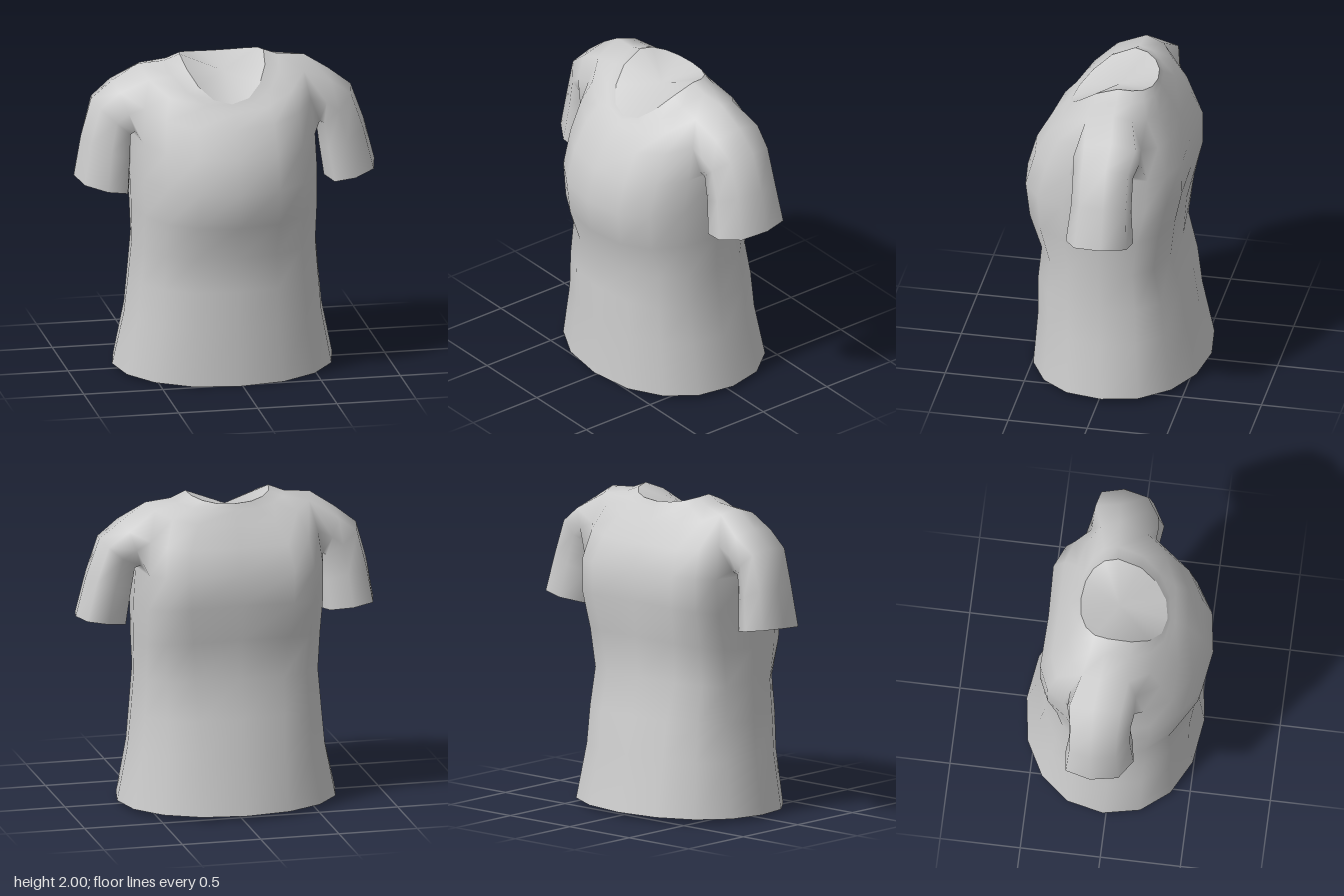
import * as THREE from 'three';

const SEG = 16;
const mat = new THREE.MeshStandardMaterial({ color: 0xcccccc, side: THREE.DoubleSide });
const soft = (v, e) => Math.sign(v) * Math.abs(v) ** e;

function build(pos, index) {
  const g = new THREE.BufferGeometry();
  g.setAttribute('position', new THREE.Float32BufferAttribute(pos.flat(), 3));
  g.setIndex(index);
  g.computeVertexNormals();
  return g;
}

// Close a ring with a fan around a centre point.
function fan(ring, centre, up) {
  const index = [];
  for (let i = 0; i < SEG; i++) {
    const j = (i + 1) % SEG;
    index.push(...(up ? [i, j, SEG] : [j, i, SEG]));
  }
  return build([...ring, centre], index);
}

// Torso ring: heights and depths at front, side and back, roundness of front
// and back (1 is an ellipse, less is boxier), and a spine dent.
function torsoRing([yF, yS, yB, w, zF, zS, zB, eF, eB, spine]) {
  const ring = [];
  for (let i = 0; i < SEG; i++) {
    const t = i / SEG * Math.PI * 2, s = Math.sin(t), c = Math.cos(t);
    const [yEnd, zEnd, e] = c > 0 ? [yF, zF, eF] : [yB, zB, eB];
    ring.push([
      -0.023 + w * soft(s, e),
      yS + (yEnd - yS) * Math.abs(c) ** 1.5,
      zS + (zEnd - zS) * Math.abs(c) ** e + (i === SEG / 2 ? spine : 0),
    ]);
  }
  return ring;
}

// Eight-sided sleeve ring spanning an outer and an inner point; tilt raises the back.
function sleeveRing([xo, yo, xi, yi, zF, zB, tilt, shift], side) {
  const ring = [];
  for (let k = 0; k < 8; k++) {
    const t = k / 8 * Math.PI * 2, s = soft(Math.sin(t), 0.75), c = soft(Math.cos(t), 0.75);
    ring.push([
      shift + side * ((xo + xi) / 2 + s * (xo - xi) / 2),
      (yo + yi) / 2 + s * (yo - yi) / 2 - c * tilt,
      (zF + zB) / 2 + c * (zF - zB) / 2 - 0.04 * s,
    ]);
  }
  return ring;
}

export function createModel() {
  const shirt = new THREE.Group();
  shirt.name = 'shirt';
  const add = (name, geometry) => {
    const m = new THREE.Mesh(geometry, mat);
    m.name = name;
    shirt.add(m);
  };

  // Hem to collar: yFront, ySide, yBack, halfWidth, zFront, zSide, zBack,
  // frontRoundness, backRoundness, spine
  const body = [
    [0.0, 0.025, 0.03, 0.695, 0.53, -0.02, -0.58, 0.92, 0.95, 0],
    [0.36, 0.36, 0.38, 0.625, 0.50, 0, -0.50, 0.9, 0.88, 0],
    [0.60, 0.60, 0.62, 0.60, 0.50, 0.01, -0.465, 0.88, 0.82, 0],
    [0.81, 0.83, 0.86, 0.58, 0.475, 0.02, -0.40, 0.86, 0.75, 0],
    [1.03, 1.06, 1.12, 0.583, 0.555, 0.02, -0.43, 0.86, 0.68, 0.01],
    [1.25, 1.30, 1.35, 0.585, 0.585, 0, -0.48, 0.86, 0.6, 0.03],
    [1.46, 1.53, 1.55, 0.58, 0.525, -0.03, -0.475, 0.86, 0.58, 0.03],
    [1.63, 1.75, 1.70, 0.56, 0.43, -0.045, -0.40, 0.85, 0.62, 0.02],
    [1.71, 1.948, 1.83, 0.525, 0.35, -0.06, -0.31, 0.88, 0.8, 0],
    [1.735, 1.962, 1.91, 0.36, 0.32, -0.05, -0.26, 0.9, 0.9, 0],
    [1.76, 2.0, 1.95, 0.265, 0.30, -0.04, -0.24, 0.9, 0.9, 0],
  ].map(torsoRing);

  // Cuff to shoulder: outer x/y, inner x/y, zFront, zBack, tilt, x shift
  const sleeve = [
    [0.95, 1.245, 0.615, 1.18, 0.18, -0.245, 0.015, 0],
    [0.895, 1.50, 0.595, 1.38, 0.155, -0.225, 0, -0.01],
    [0.82, 1.735, 0.585, 1.53, 0.155, -0.225, 0, -0.02],
    [0.68, 1.845, 0.57, 1.54, 0.17, -0.25, 0, -0.023],
  ];

  // Torso skin with an armhole on each side
  const pos = body.flat(), index = [];
  const at = (row, col) => row * SEG + col % SEG;
  const quad = (a, b, c, d) => index.push(a, b, c, a, c, d);
  for (let r = 0; r < body.length - 1; r++) {
    for (let i = 0; i < SEG; i++) {
      const armhole = (r === 6 || r === 7) && [3, 4, 11, 12].includes(i);
      if (!armhole) quad(at(r, i), at(r, i + 1), at(r + 1, i + 1), at(r + 1, i));
    }
  }

  // Sleeves grown into the armhole edges: [offset toward back, torso row]
  const edge = [[-1, 7], [-1, 8], [0, 8], [1, 8], [1, 7], [1, 6], [0, 6], [-1, 6]];
  for (const side of [1, -1]) {
    const loops = sleeve.map((row) => sleeveRing(row, side).map((p) => pos.push(p) - 1));
    loops.push(edge.map(([o, r]) => at(r, side > 0 ? 4 + o : 12 - o)));
    for (let r = 0; r < loops.length - 1; r++) {
      for (let k = 0; k < 8; k++) {
        const n = (k + 1) % 8;
        const q = [loops[r][k], loops[r][n], loops[r + 1][n], loops[r + 1][k]];
        quad(...(side > 0 ? q : q.reverse()));
      }
    }
  }
  add('bodyAndSleeves', build(pos, index));
  add('hemClosure', fan(body[0], [-0.02, 0.015, -0.025], false));
  add('neckClosure', fan(body[body.length - 1], [-0.02, 1.89, 0], true));
  return shirt;
}
